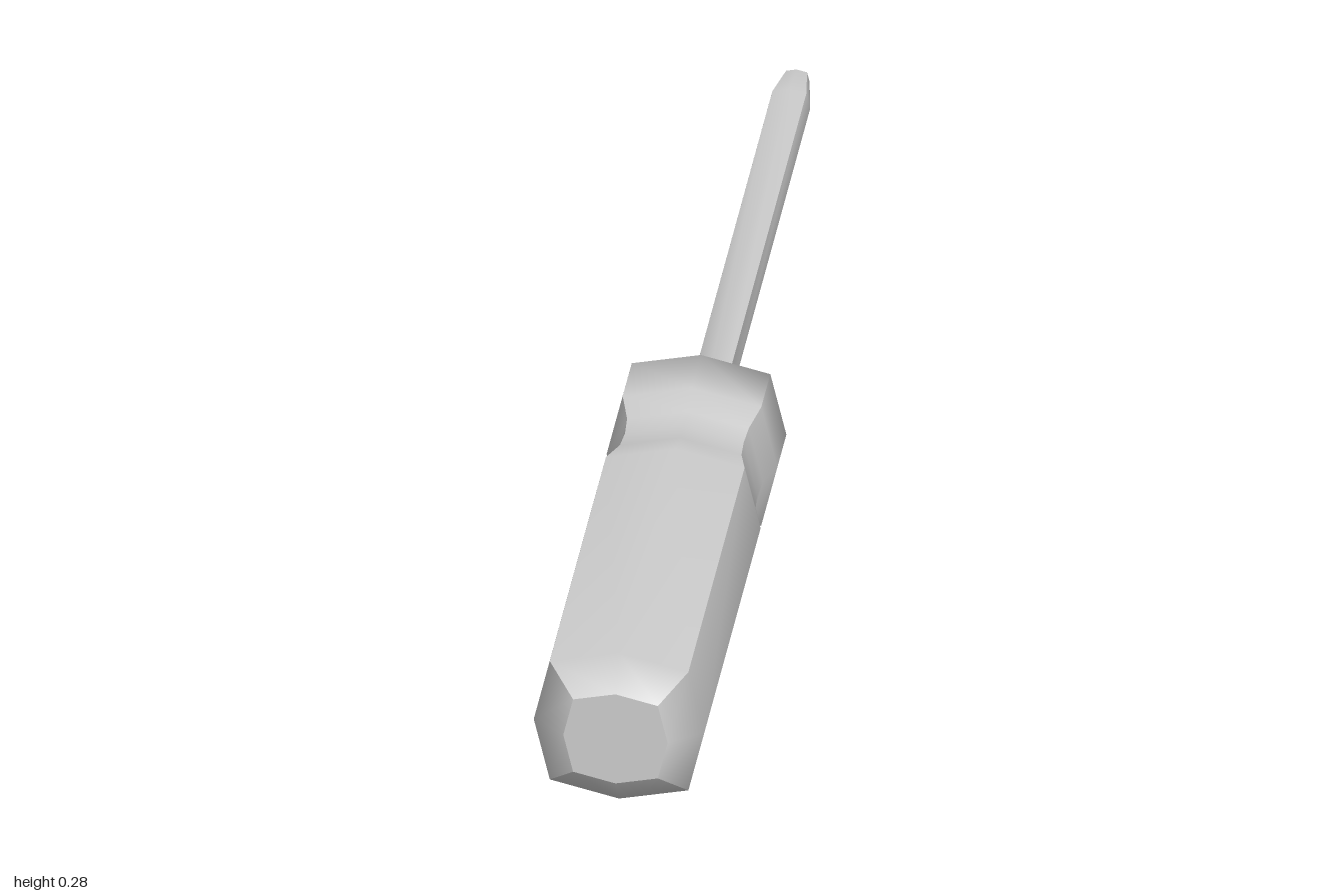
import * as THREE from 'three';

const AXIS_Y = 0.14;
const CORNER = 0.812 * Math.SQRT2; // corners of the bulged square section

// [z, radius] along the tool, from tip to butt
const PROFILE = [
  [-1, 0.021], [-0.92, 0.034], [0.055, 0.034],
  [0.055, 0.139], [0.155, 0.139], [0.2, 0.122], [0.24, 0.119], [0.28, 0.122],
  [0.34, 0.139], [0.96, 0.139], [1, 0.085],
];
const SHAFT_RINGS = 2; // bands that belong to the shaft

// Point k of the eight-point section: even = side middle, odd = corner
function sectionPoint(k, r) {
  const a = (k * Math.PI) / 4;
  const s = k % 2 ? r * CORNER : r;
  return [Math.cos(a) * s, Math.sin(a) * s];
}

// Four strips, smooth along each side and creased at the corners
function buildStrips() {
  const positions = [];
  const index = [];
  for (const [z, r] of PROFILE) {
    for (let side = 0; side < 4; side++) {
      for (let j = -1; j <= 1; j++) positions.push(...sectionPoint(side * 2 + j + 8, r), z);
    }
  }
  for (let i = 0; i < PROFILE.length - 1; i++) {
    for (let side = 0; side < 4; side++) {
      for (let j = 0; j < 2; j++) {
        const a = i * 12 + side * 3 + j;
        index.push(a, a + 1, a + 12, a + 1, a + 13, a + 12);
      }
    }
  }
  const geo = new THREE.BufferGeometry();
  geo.setAttribute('position', new THREE.Float32BufferAttribute(positions, 3));
  geo.setIndex(index);
  geo.computeVertexNormals();
  return geo;
}

// Flat eight-sided end face
function endFace(r) {
  const geo = new THREE.CircleGeometry(r, 8);
  const p = geo.attributes.position;
  for (let i = 1; i < p.count; i++) p.setXY(i, ...sectionPoint(i - 1, r));
  return geo;
}

export function createModel() {
  const model = new THREE.Group();
  model.name = 'screwdriver';
  const material = new THREE.MeshStandardMaterial({ color: 0xcccccc });
  const strips = buildStrips();
  const indices = Array.from(strips.index.array);
  const split = SHAFT_RINGS * 4 * 2 * 6;

  const add = (name, geo, z = 0) => {
    const mesh = new THREE.Mesh(geo, material);
    mesh.name = name;
    mesh.position.set(0, AXIS_Y, z);
    model.add(mesh);
    return mesh;
  };
  const section = (from, to) => {
    const geo = strips.clone();
    geo.setIndex(indices.slice(from, to));
    return geo.toNonIndexed();
  };

  // Shaft with tapered tip, and handle with waist and bevelled butt
  add('shaft', section(0, split));
  add('handle', section(split, indices.length));

  // End faces
  add('tipFace', endFace(PROFILE[0][1]), -1).rotation.y = Math.PI;
  add('handleButt', endFace(PROFILE[PROFILE.length - 1][1]), 1);

  return model;
}
